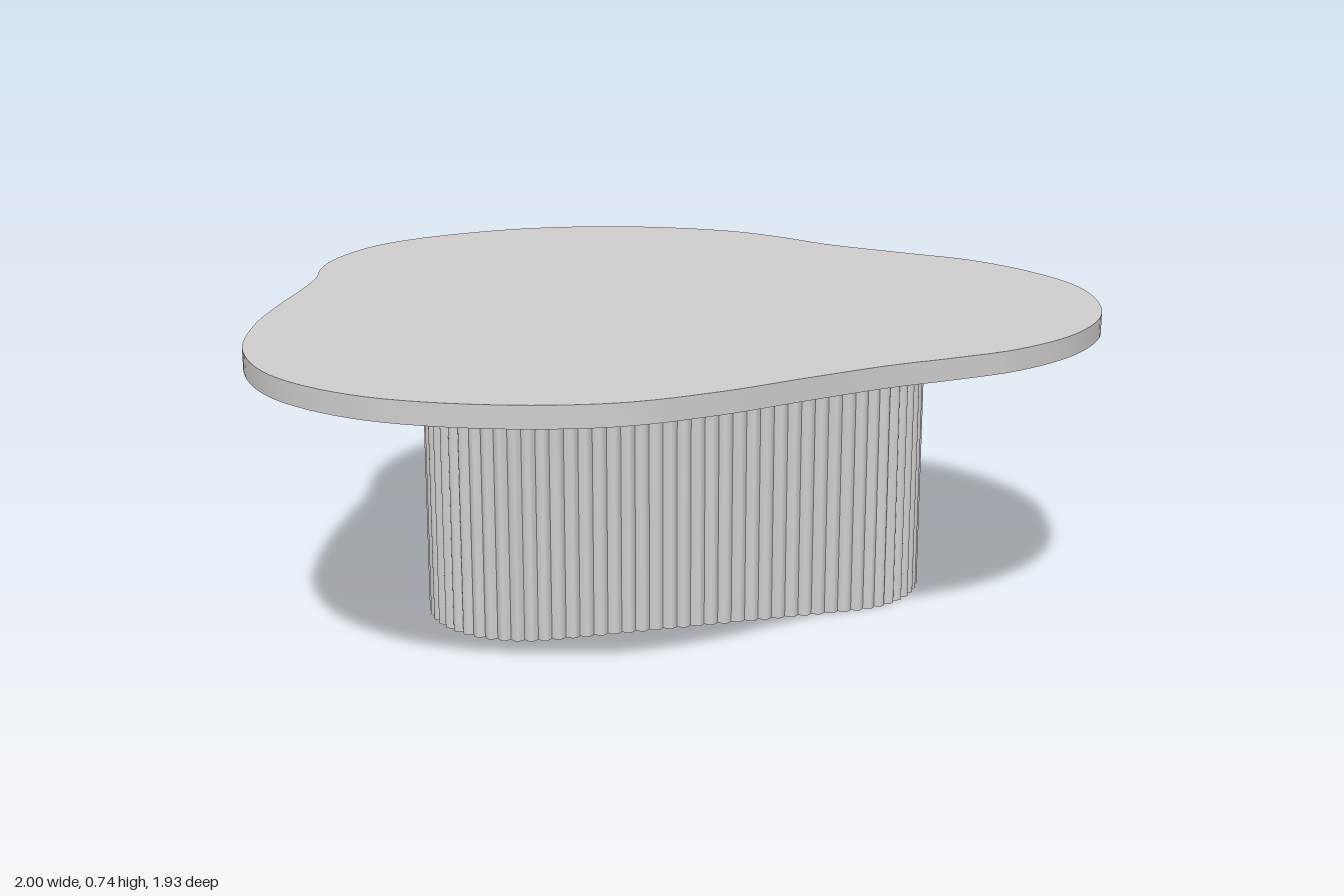
import * as THREE from 'three';
import { toCreasedNormals } from 'three/addons/utils/BufferGeometryUtils.js';

// Extrudes a plan outline of [x, z] points upward from y0 by the given height
function slab(points, y0, height) {
  const shape = new THREE.Shape(points.map(([x, z]) => new THREE.Vector2(x, -z)));
  const geo = new THREE.ExtrudeGeometry(shape, { depth: height, bevelEnabled: false });
  geo.rotateX(-Math.PI / 2);
  geo.translate(0, y0, 0);
  return toCreasedNormals(geo, 0.6);
}

// Smooth closed outline through a few plan points
function topOutline() {
  const plan = [
    [-0.12, -0.97], [-0.38, -0.925], [-0.6, -0.81], [-0.735, -0.63], [-0.782, -0.5],
    [-0.8, -0.39], [-0.84, -0.26], [-0.91, -0.07], [-0.97, 0.13], [-1, 0.37],
    [-0.95, 0.6], [-0.8, 0.795], [-0.58, 0.915], [-0.32, 0.965], [-0.1, 0.925],
    [0.1, 0.855], [0.3, 0.79], [0.45, 0.757], [0.61, 0.712], [0.79, 0.6],
    [0.93, 0.42], [1, 0.15], [0.965, -0.06], [0.87, -0.25], [0.72, -0.4],
    [0.57, -0.55], [0.48, -0.68], [0.37, -0.8], [0.15, -0.92],
  ];
  const curve = new THREE.CatmullRomCurve3(
    plan.map(([x, z]) => new THREE.Vector3(x, 0, z)), true, 'centripetal');
  return curve.getPoints(180).slice(0, -1).map((p) => [p.x, p.z]);
}

// Capsule-shaped outline whose wall is a row of convex ribs
function ribbedOutline(radius, half, ribs, steps, depth) {
  const straight = 2 * half;
  const arc = Math.PI * radius;
  const lap = straight + arc;
  const points = [];
  for (let i = 0; i < ribs * steps; i++) {
    const d = (i / (ribs * steps)) * 2 * lap;
    const side = d < lap ? 1 : -1;
    const s = d % lap;
    const r = radius - depth * (1 - Math.abs(Math.sin((Math.PI * i) / steps)));
    let x = half - s;
    let z = r;
    if (s > straight) {
      const a = (s - straight) / radius;
      x = -half - r * Math.sin(a);
      z = r * Math.cos(a);
    }
    points.push([x * side, z * side]);
  }
  return points;
}

export function createModel() {
  const stone = new THREE.MeshStandardMaterial({ color: 0xd0cecc });
  stone.name = 'pale stone';
  const model = new THREE.Group();
  model.name = 'coffeeTable';

  // Free-form table top
  const top = new THREE.Mesh(slab(topOutline(), 0.687, 0.048), stone);
  top.name = 'tableTop';

  // Ribbed pedestal, turned slightly
  const base = new THREE.Mesh(slab(ribbedOutline(0.243, 0.367, 90, 8, 0.011), 0, 0.687), stone);
  base.name = 'ribbedPedestal';
  base.position.set(0.02, 0, 0.048);
  base.rotation.y = THREE.MathUtils.degToRad(2.5);

  model.add(top, base);
  return model;
}
